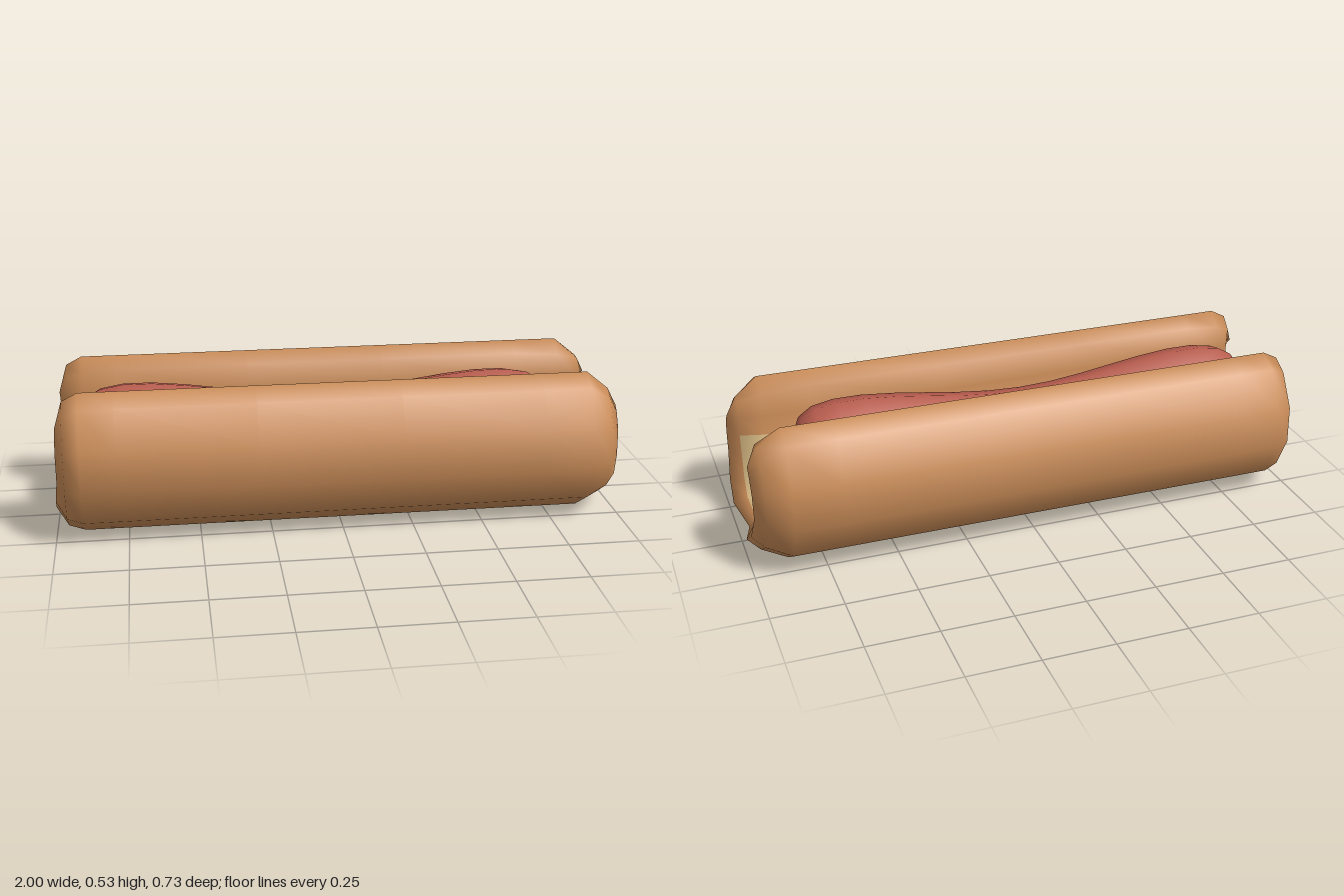
import * as THREE from 'three';
import { mergeVertices } from 'three/addons/utils/BufferGeometryUtils.js';

// Half cross-section of the bun as [z, y], bottom centre to lip
const OUTER = [[0, .002], [.17, .01], [.295, .088], [.363, .22], [.358, .365], [.28, .492], [.208, .53]];
const INNER = [[0, .11], [.06, .15], [.09, .195], [.115, .27], [.132, .33], [.145, .40], [.15, .495]];
// Middle line of the bun wall, where the rounded ends close
const SPINE = [[0, .055], [.13, .085], [.21, .14], [.255, .23], [.25, .32], [.22, .38], [.2, .40]];
const BULGE = [-.015, .015, .01, 0, 0, 0, 0];

// Stations along x: [x, outer closing, inner closing]
const STATIONS = [
  [-.985, 1, 1], [-.955, .22, .35], [-.9, 0, .14], [-.78, 0, 0], [-.3, 0, 0], [.2, 0, 0],
  [.7, 0, 0], [.87, 0, .14], [.95, .5, .35], [.985, 1, 1],
];

// Full ring: up the outside, down the inside, then the mirrored half
function buildRing() {
  const ring = [];
  for (let k = 0; k <= 6; k++) ring.push({ k, side: 1, inner: false });
  for (let k = 6; k >= 0; k--) ring.push({ k, side: 1, inner: true });
  for (let k = 1; k <= 6; k++) ring.push({ k, side: -1, inner: true });
  for (let k = 6; k >= 1; k--) ring.push({ k, side: -1, inner: false });
  return ring;
}

function bunGeometry() {
  const ring = buildRing(), n = ring.length;
  const positions = [], crust = [], crumb = [];
  for (const [x, outerT, innerT] of STATIONS) {
    for (const { k, side, inner } of ring) {
      const p = (inner ? INNER : OUTER)[k], t = inner ? innerT : outerT;
      const z = THREE.MathUtils.lerp(p[0], SPINE[k][0], t);
      const y = THREE.MathUtils.lerp(p[1], SPINE[k][1], t);
      positions.push(x + Math.sign(x) * BULGE[k] * t, y, z * side);
    }
  }
  for (let s = 0; s < STATIONS.length - 1; s++) {
    const endStrip = s === 0 || s === STATIONS.length - 2;
    for (let i = 0; i < n; i++) {
      const j = (i + 1) % n, a = s * n + i, b = s * n + j, c = a + n, d = b + n;
      const soft = !endStrip && ring[i].inner && ring[j].inner && ring[i].k <= 4 && ring[j].k <= 4;
      (soft ? crumb : crust).push(a, c, b, b, c, d);
    }
  }
  const geo = new THREE.BufferGeometry();
  geo.setAttribute('position', new THREE.Float32BufferAttribute(positions, 3));
  geo.setIndex([...crust, ...crumb]);
  geo.addGroup(0, crust.length, 0);
  geo.addGroup(crust.length, crumb.length, 1);
  const merged = mergeVertices(geo, 1e-4);
  merged.computeVertexNormals();
  return merged;
}

function sausageGeometry() {
  // Profile [radius, x] with blunt rounded ends and a slim waist
  const profile = [[0, -.915], [.05, -.91], [.105, -.88], [.135, -.83], [.149, -.75]];
  for (let i = 0; i <= 10; i++) {
    const u = i / 10;
    profile.push([.15 - .01 * Math.sin(Math.PI * u), -.65 + u * 1.18]);
  }
  profile.push([.149, .63], [.135, .71], [.105, .76], [.05, .787], [0, .792]);
  const geo = new THREE.LatheGeometry(profile.map(([r, x]) => new THREE.Vector2(r, x)), 12);
  geo.rotateZ(-Math.PI / 2);
  // Sag the middle
  const pos = geo.attributes.position;
  for (let i = 0; i < pos.count; i++) {
    const u = THREE.MathUtils.clamp((pos.getX(i) + .06) / .65, -1, 1);
    pos.setY(i, pos.getY(i) + .335 - .0275 * (1 + Math.cos(Math.PI * u)));
  }
  geo.deleteAttribute('uv');
  geo.deleteAttribute('normal');
  const merged = mergeVertices(geo, 1e-4);
  merged.computeVertexNormals();
  return merged;
}

export function createModel() {
  const material = (name, color) => {
    const m = new THREE.MeshStandardMaterial({ color });
    m.name = name;
    return m;
  };
  const crust = material('crust brown', 0xcb8d58);
  const crumb = material('crumb cream', 0xdcbd86);
  const meat = material('sausage red', 0xb85d4e);

  const group = new THREE.Group();
  group.name = 'hotDog';
  const bun = new THREE.Mesh(bunGeometry(), [crust, crumb]);
  bun.name = 'bun';
  const sausage = new THREE.Mesh(sausageGeometry(), meat);
  sausage.name = 'sausage';
  group.add(bun, sausage);
  return group;
}
